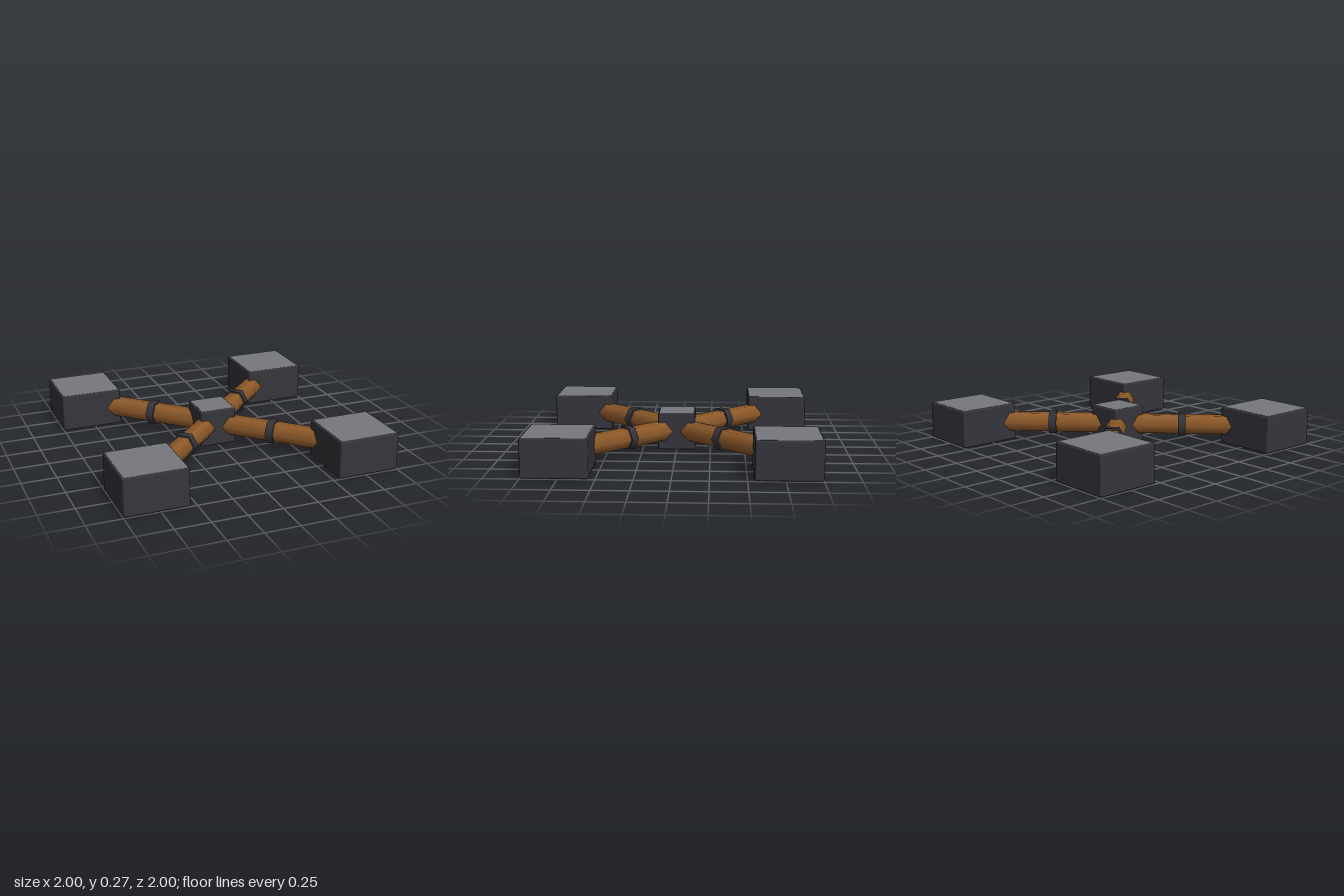
import * as THREE from 'three';
import { RoundedBoxGeometry } from 'three/addons/geometries/RoundedBoxGeometry.js';

const HEIGHT = 0.273;   // height of every block
const BLOCK = 0.455;    // width of a corner block
const REACH = 1 - BLOCK / 2;
const BEVEL = 0.012;

const mat = (name, color) => {
  const m = new THREE.MeshStandardMaterial({ color });
  m.name = name;
  return m;
};

export function createModel() {
  const darkMetal = mat('dark metal', 0x36353c);
  const greyMetal = mat('grey metal', 0x76787f);
  const wood = mat('wood', 0x8f5a2a);

  const model = new THREE.Group();
  model.name = 'crossFrame';

  const add = (parent, name, geometry, material, x = 0, y = 0, z = 0) => {
    const mesh = new THREE.Mesh(geometry, material);
    mesh.name = name;
    mesh.position.set(x, y, z);
    parent.add(mesh);
    return mesh;
  };

  // Bevelled dark block with grey plates on its top and bottom
  const addBlock = (name, width, x, z) => {
    const block = new THREE.Group();
    block.name = name;
    block.position.set(x, HEIGHT / 2, z);
    add(block, 'body', new RoundedBoxGeometry(width, HEIGHT, width, 1, BEVEL), darkMetal);
    const plate = new THREE.BoxGeometry(width - 2 * BEVEL, 0.003, width - 2 * BEVEL);
    add(block, 'topPlate', plate, greyMetal, 0, HEIGHT / 2 - 0.0005, 0);
    add(block, 'bottomPlate', plate, greyMetal, 0, -HEIGHT / 2 + 0.0005, 0);
    model.add(block);
  };

  addBlock('hub', HEIGHT, 0, 0);
  for (const sx of [-1, 1]) {
    for (const sz of [-1, 1]) {
      addBlock('cornerBlock', BLOCK, sx * REACH, sz * REACH);
    }
  }

  // Six-sided rods lying along the diagonals, each with a metal band
  const rodLength = REACH * Math.SQRT2;
  const rod = new THREE.CylinderGeometry(0.077, 0.077, rodLength, 6).rotateZ(Math.PI / 2);
  const band = new THREE.CylinderGeometry(0.091, 0.091, 0.057, 6).rotateZ(Math.PI / 2);
  for (let i = 0; i < 4; i++) {
    const arm = new THREE.Group();
    arm.name = 'arm';
    arm.position.y = HEIGHT / 2;
    arm.rotation.y = Math.PI / 4 + i * Math.PI / 2;
    add(arm, 'rod', rod, wood, rodLength / 2, 0, 0);
    add(arm, 'band', band, darkMetal, 0.482, 0, 0);
    model.add(arm);
  }

  return model;
}
